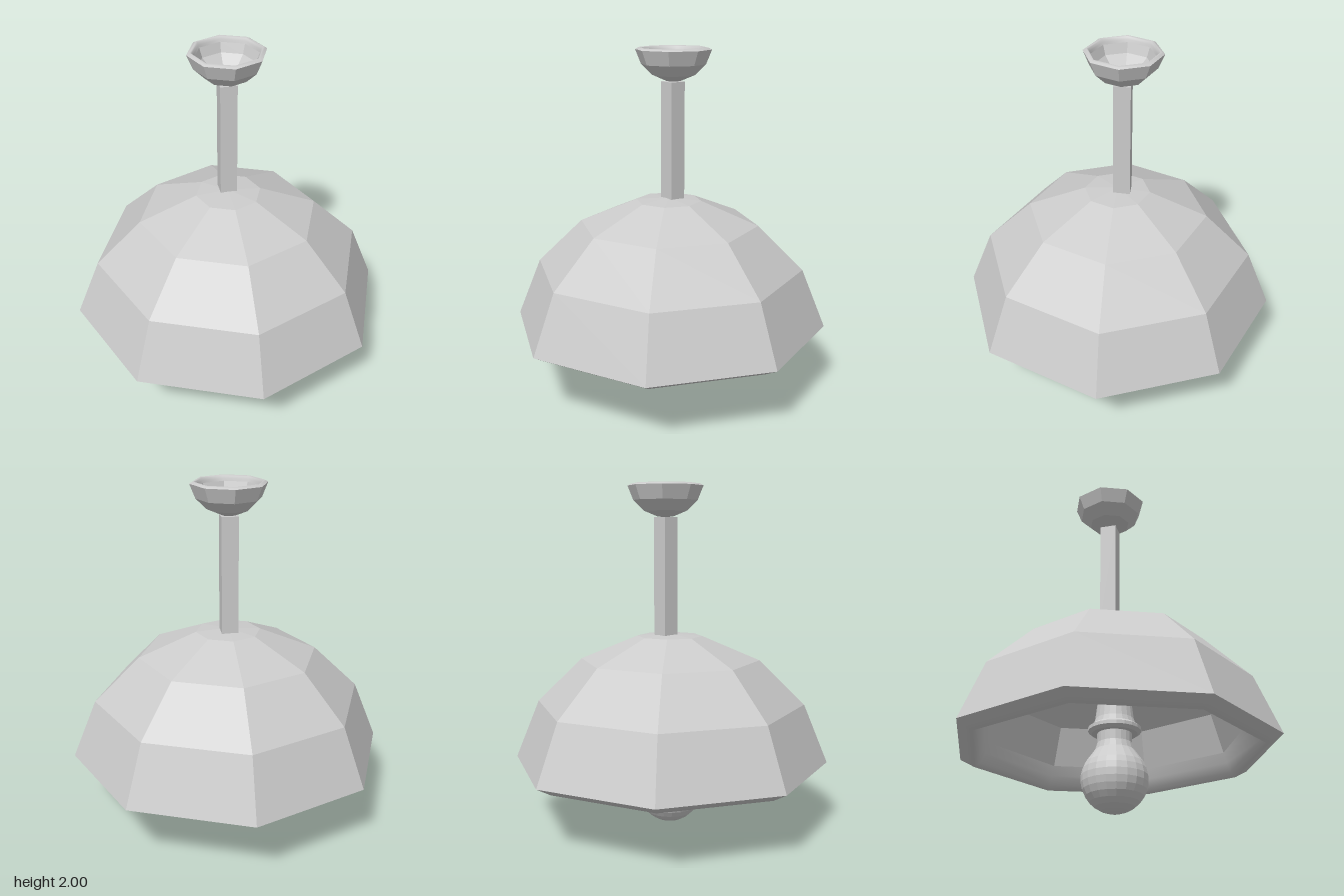
import * as THREE from 'three';

const flat = new THREE.MeshStandardMaterial({ color: 0xcccccc, flatShading: true, side: THREE.DoubleSide });
const smooth = new THREE.MeshStandardMaterial({ color: 0xcccccc, side: THREE.DoubleSide });

function lathe(name, profile, sides, material) {
  const points = profile.map(([r, y]) => new THREE.Vector2(r, y));
  const mesh = new THREE.Mesh(new THREE.LatheGeometry(points, sides), material);
  mesh.name = name;
  return mesh;
}

// Thick eight-sided bowl, open end down, with a rounded lip
function bowl(name) {
  const group = new THREE.Group();
  group.name = name;
  group.add(
    lathe(name + 'Inside', [[0, 1.05], [0.16, 1.04], [0.46, 0.91], [0.68, 0.7], [0.76, 0.47]], 8, flat),
    lathe(name + 'Lip', [[0.76, 0.47], [0.78, 0.41], [0.805, 0.355], [0.84, 0.33], [0.885, 0.355], [0.93, 0.38]], 8, smooth),
    lathe(name + 'Outside', [[0.93, 0.38], [0.79, 0.725], [0.525, 0.985], [0.19, 1.125], [0, 1.14]], 8, flat)
  );
  return group;
}

export function createModel() {
  const model = new THREE.Group();
  model.name = 'pendantLamp';

  // Shade, and the same form inverted and reduced as the ceiling cup
  model.add(bowl('shade'));
  const cup = bowl('ceilingCup');
  const s = 0.234;
  cup.scale.setScalar(s);
  cup.rotation.x = Math.PI;
  cup.position.set(0, 2 + 0.33 * s, -0.033);
  model.add(cup);

  // Square stem
  const stem = new THREE.Mesh(new THREE.BoxGeometry(0.096, 0.68, 0.096), flat);
  stem.name = 'stem';
  stem.position.set(0, 1.47, -0.03);
  model.add(stem);

  // Bulb: round globe running into a narrow neck
  const globe = [];
  for (let i = 0; i <= 11; i++) {
    const a = (i / 11) * 2.3;
    globe.push([0.188 * Math.sin(a), 0.193 - 0.188 * Math.cos(a)]);
  }
  globe.push([0.11, 0.36], [0.098, 0.4], [0.098, 0.47]);
  model.add(lathe('bulb', globe, 20, flat));

  // Socket with a flared collar, and the cable above it
  model.add(lathe('socket', [
    [0, 0.455], [0.13, 0.455], [0.15, 0.47], [0.15, 0.49], [0.12, 0.51],
    [0.11, 0.54], [0.095, 0.66], [0.088, 0.75], [0.07, 0.775], [0, 0.775],
  ], 20, flat));
  const cable = new THREE.Mesh(new THREE.CylinderGeometry(0.035, 0.035, 0.33, 10), smooth);
  cable.name = 'cable';
  cable.position.y = 0.93;
  model.add(cable);

  return model;
}
